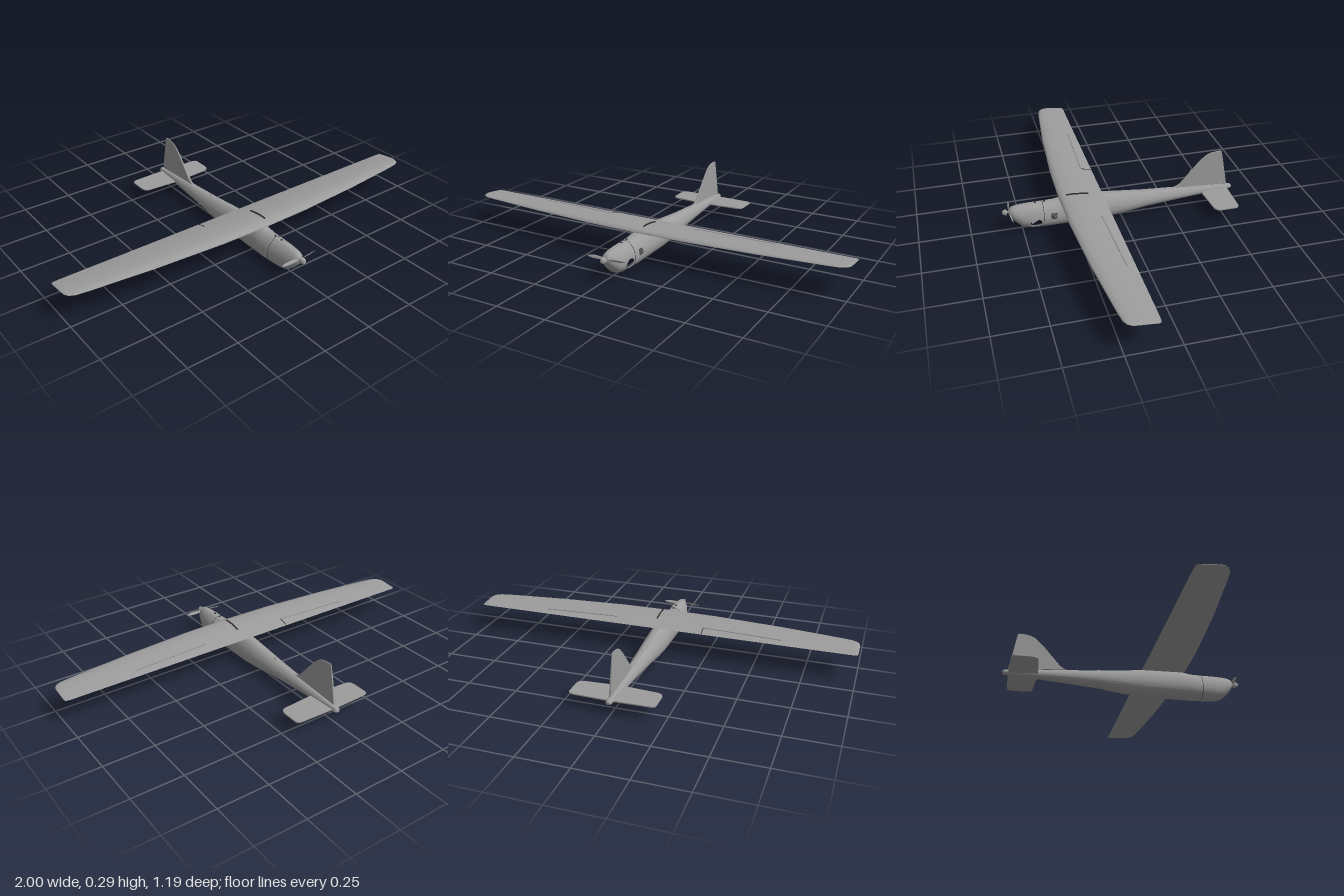
import * as THREE from 'three';
import { toCreasedNormals, mergeVertices } from 'three/addons/utils/BufferGeometryUtils.js';

const grey = new THREE.MeshStandardMaterial({ color: 0x9c9c9c });
grey.name = 'airframe grey';
const dark = new THREE.MeshStandardMaterial({ color: 0x2b2b2b });
dark.name = 'fitting black';

// Skin closed rings (equal point counts); skip(point) leaves openings
function loft(rings, crease, skip = () => false) {
  const n = rings[0].length, pos = rings.flat().flatMap((p) => p.toArray()), idx = [];
  const mid = new THREE.Vector3();
  for (let i = 0; i < rings.length - 1; i++) {
    for (let j = 0; j < n; j++) {
      const k = (j + 1) % n;
      const a = i * n + j, b = i * n + k, c = a + n, d = b + n;
      mid.copy(rings[i][j]).add(rings[i + 1][k]).multiplyScalar(0.5);
      if (!skip(mid)) idx.push(a, c, b, b, c, d);
    }
  }
  // End caps
  for (const [i, flip] of [[0, false], [rings.length - 1, true]]) {
    const c = rings[i].reduce((s, p) => s.add(p), new THREE.Vector3()).divideScalar(n);
    const ci = pos.length / 3;
    pos.push(c.x, c.y, c.z);
    for (let j = 0; j < n; j++) {
      const a = i * n + j, b = i * n + (j + 1) % n;
      idx.push(...(flip ? [ci, b, a] : [ci, a, b]));
    }
  }
  // Turn the faces outward
  const v = (i) => new THREE.Vector3().fromArray(pos, 3 * i);
  let volume = 0;
  for (let i = 0; i < idx.length; i += 3) volume += v(idx[i]).dot(v(idx[i + 1]).cross(v(idx[i + 2])));
  if (volume < 0) idx.reverse();
  const g = new THREE.BufferGeometry();
  g.setAttribute('position', new THREE.Float32BufferAttribute(pos, 3));
  g.setIndex(idx);
  return toCreasedNormals(mergeVertices(g, 1e-5), crease);
}

// Linear lookup in rows whose first column descends
function lookup(rows, t) {
  let i = 0;
  while (i < rows.length - 2 && t < rows[i + 1][0]) i++;
  const f = (t - rows[i][0]) / (rows[i + 1][0] - rows[i][0]);
  return rows[i].map((a, k) => a + (rows[i + 1][k] - a) * f);
}

// Fuselage sections: z, bottom, top, half width
const BODY = [
  [0.562, 0.088, 0.112, 0.012], [0.556, 0.075, 0.12, 0.02], [0.545, 0.058, 0.127, 0.029],
  [0.525, 0.036, 0.131, 0.037], [0.497, 0.013, 0.133, 0.045], [0.465, 0.004, 0.134, 0.05],
  [0.4, 0.001, 0.134, 0.054], [0.34, 0, 0.135, 0.056], [0.3, 0, 0.143, 0.056],
  [0.1, 0.002, 0.139, 0.054], [0, 0.01, 0.129, 0.05], [-0.12, 0.028, 0.117, 0.042],
  [-0.3, 0.042, 0.106, 0.031], [-0.45, 0.052, 0.095, 0.022], [-0.56, 0.058, 0.086, 0.016],
  [-0.585, 0.06, 0.084, 0.014], [-0.592, 0.066, 0.078, 0.007],
];
function bodyPoint(z, angle, grow = 0) {
  const [, lo, hi, w] = lookup(BODY, z), s = Math.sin(angle);
  return new THREE.Vector3((w + grow) * Math.cos(angle) * (1 - 0.15 * s),
    (lo + hi) / 2 + ((hi - lo) / 2 + grow) * s, z);
}
function bodySide(z, y) {
  const [, lo, hi] = lookup(BODY, z);
  return bodyPoint(z, Math.asin((2 * y - lo - hi) / (hi - lo)));
}
const ring = (z, n = 96, grow = 0) =>
  Array.from({ length: n }, (_, j) => bodyPoint(z, (j / n) * Math.PI * 2, grow));

// Wing half stations, tip to root: |x|, leading z, trailing z, thickness factor
const WING = [
  [1, 0.19, 0.108, 0.08], [0.997, 0.215, 0.1, 0.2], [0.985, 0.234, 0.096, 0.3],
  [0.96, 0.247, 0.095, 0.36], [0.9, 0.256, 0.095, 0.45], [0.6, 0.287, 0.095, 0.75],
  [0.25, 0.31, 0.095, 0.97], [0, 0.315, 0.095, 1],
];
function wingPoint(x, u, upper) {
  const [, lead, trail, t] = lookup(WING, Math.abs(x));
  const bulge = 2 * (1.4845 * Math.sqrt(u) - 0.63 * u - 1.758 * u ** 2 + 1.4215 * u ** 3 - 0.518 * u ** 4);
  const y = 0.146 - 0.008 * u + bulge * t * (upper ? 0.022 : -0.006);
  return new THREE.Vector3(x, y, lead + (trail - lead) * u);
}
function wingRing(x) {
  const pts = [], n = 16;
  for (let i = 0; i < n; i++) pts.push(wingPoint(x, ((1 - Math.cos(i / n * Math.PI)) / 2), true));
  for (let i = n; i > 0; i--) pts.push(wingPoint(x, ((1 - Math.cos(i / n * Math.PI)) / 2), false));
  return pts;
}
function onWing(x, z, lift = 0.001) {
  const [, lead, trail] = lookup(WING, Math.abs(x));
  const p = wingPoint(x, (lead - z) / (lead - trail), true);
  p.y += lift;
  return p;
}

export function createModel() {
  const model = new THREE.Group();
  const add = (name, geometry, material = grey, parent = model) => {
    const m = new THREE.Mesh(geometry, material);
    m.name = name;
    parent.add(m);
    return m;
  };
  const tube = (points, r, closed = false) =>
    new THREE.TubeGeometry(new THREE.CatmullRomCurve3(points, closed), 48, r, 6, closed);

  // Fuselage with a camera opening in its left side
  const zs = [];
  BODY.forEach(([z], i) => {
    zs.push(z);
    if (!BODY[i + 1]) return;
    const n = z <= 0.5 && z > 0.39 ? 24 : 3;
    for (let k = 1; k < n; k++) zs.push(z + (BODY[i + 1][0] - z) * k / n);
  });
  const hole = { z: 0.436, y: 0.047, rz: 0.03, ry: 0.023 };
  add('fuselage', loft(zs.map((z) => ring(z)), 0.7, (p) =>
    p.x > 0 && ((p.z - hole.z) / hole.rz) ** 2 + ((p.y - hole.y) / hole.ry) ** 2 < 1));
  const rim = Array.from({ length: 24 }, (_, i) => {
    const a = i / 24 * Math.PI * 2;
    return bodySide(hole.z + hole.rz * Math.cos(a), hole.y + hole.ry * Math.sin(a));
  });
  add('cameraOpeningRim', tube(rim, 0.0025, true));
  const camera = add('cameraBarrel', new THREE.CylinderGeometry(0.007, 0.007, 0.045, 20));
  camera.position.set(0.025, 0.045, 0.436);
  camera.rotation.x = -1.05;
  add('noseSeam', tube(ring(0.395, 32, 0.0002), 0.001, true), dark);

  // Nose intake with slats
  for (let i = 0; i < 4; i++) {
    const y = 0.046 + i * 0.008, w = 0.013 - Math.abs(i - 1.5) * 0.002;
    const z = 0.517 + i * 0.008;
    add('noseIntakeSlat', new THREE.BoxGeometry(w * 2, 0.003, 0.006), dark).position.set(0, y, z);
  }

  // Side vent
  for (let i = 0; i < 5; i++) {
    const y = 0.062 + i * 0.006;
    add('ventSlat', new THREE.BoxGeometry(0.004, 0.003, 0.03), dark)
      .position.set(bodySide(0.347, y).x, y, 0.347);
  }
  // Hatch screws and rear dorsal bump
  for (const z of [0.43, 0.385]) {
    add('hatchScrew', new THREE.CylinderGeometry(0.005, 0.005, 0.004, 16), dark).position.set(0, 0.135, z);
  }
  const bump = add('dorsalBump', new THREE.SphereGeometry(0.01, 20, 12));
  bump.position.set(0, 0.116, -0.12);
  bump.scale.set(0.8, 0.6, 1.4);

  // Wing, tip to tip
  const xs = WING.map((w) => w[0]);
  const span = [...xs, ...xs.slice(0, -1).reverse().map((x) => -x)];
  add('wing', loft(span.map(wingRing), 0.8));
  for (const s of [1, -1]) {
    const hinge = Array.from({ length: 9 }, (_, i) => onWing(s * (0.23 + i * 0.05), 0.15 - i * 0.0018));
    add('aileronHinge', tube(hinge, 0.003));
  }
  add('aileronGap', tube([0.1, 0.125, 0.15].map((z) => onWing(-0.23, z, 0)), 0.002), dark);
  add('wingStrap', tube([0.17, 0.2, 0.24, 0.28].map((z) => onWing(0.025, z, 0.002)), 0.004), dark);

  // Tailplane with rounded corners, drawn as x and -z
  const plan = new THREE.Shape();
  plan.moveTo(0, 0.42);
  plan.lineTo(0.175, 0.432);
  plan.quadraticCurveTo(0.206, 0.434, 0.207, 0.465);
  plan.lineTo(0.207, 0.54);
  plan.quadraticCurveTo(0.206, 0.558, 0.18, 0.56);
  plan.lineTo(0, 0.565);
  plan.lineTo(-0.18, 0.56);
  plan.quadraticCurveTo(-0.206, 0.558, -0.207, 0.54);
  plan.lineTo(-0.207, 0.465);
  plan.quadraticCurveTo(-0.206, 0.434, -0.175, 0.432);
  const bevel = { bevelThickness: 0.002, bevelSize: 0.002, bevelOffset: -0.002, bevelSegments: 2 };
  const tail = new THREE.ExtrudeGeometry(plan, { depth: 0.004, curveSegments: 8, ...bevel });
  add('tailplane', tail.rotateX(-Math.PI / 2).translate(0, 0.068, 0));

  // Fin, drawn as z and y, thinner toward its top
  const side = new THREE.Shape();
  side.moveTo(-0.278, 0.109);
  side.lineTo(-0.565, 0.091);
  side.lineTo(-0.53, 0.278);
  side.quadraticCurveTo(-0.527, 0.287, -0.515, 0.286);
  side.quadraticCurveTo(-0.46, 0.285, -0.435, 0.262);
  side.quadraticCurveTo(-0.41, 0.24, -0.385, 0.21);
  side.lineTo(-0.315, 0.128);
  side.quadraticCurveTo(-0.3, 0.113, -0.278, 0.109);
  const fin = new THREE.ExtrudeGeometry(side, { depth: 0.006, curveSegments: 8, ...bevel });
  fin.translate(0, 0, -0.003).rotateY(-Math.PI / 2);
  const fp = fin.attributes.position;
  for (let i = 0; i < fp.count; i++) fp.setX(i, fp.getX(i) * (1.2 - 3.5 * (fp.getY(i) - 0.09)));
  fin.computeVertexNormals();
  add('fin', fin);

  // Propeller
  const propeller = new THREE.Group();
  propeller.name = 'propeller';
  propeller.position.set(0, 0.1, 0);
  model.add(propeller);
  const cone = [[0, 0.595], [0.007, 0.593], [0.012, 0.587], [0.015, 0.577], [0.015, 0.572], [0, 0.572]];
  const spinner = new THREE.LatheGeometry(cone.reverse().map(([r, h]) => new THREE.Vector2(r, h)), 24);
  add('spinner', toCreasedNormals(spinner.rotateX(Math.PI / 2), 0.7), grey, propeller);
  const shaft = new THREE.CylinderGeometry(0.005, 0.005, 0.03, 16).rotateX(Math.PI / 2);
  add('propellerShaft', shaft, grey, propeller).position.z = 0.562;
  for (const s of [1, -1]) {
    const blade = add('propellerBlade', new THREE.SphereGeometry(1, 24, 12), grey, propeller);
    blade.scale.set(0.046, 0.008, 0.002);
    blade.position.set(s * 0.055, 0, 0.556);
    blade.rotation.set(s * 0.6, s * 0.08, 0);
  }
  return model;
}
